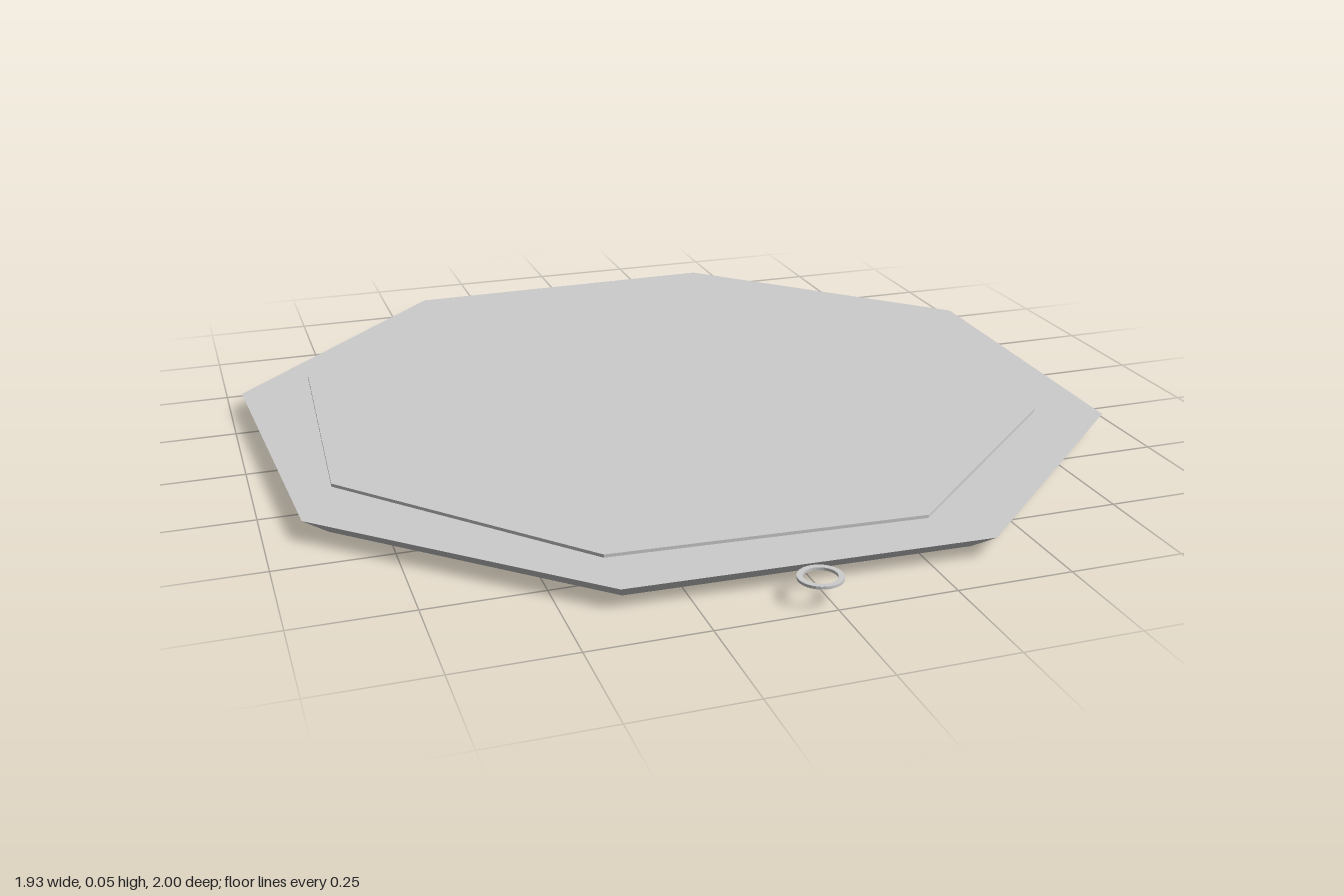
import * as THREE from 'three';

const material = new THREE.MeshStandardMaterial({ color: 0xcccccc, flatShading: true });
const SIDES = 8, RIM_TOP = 0.046, PANEL_TOP = 0.053;
const PANEL = { radius: 0.89, z: -0.065, turn: THREE.MathUtils.degToRad(25.5) };

// Slightly irregular corners [x, z], running from +x towards +z
const outerCorners = [
  [0.945, 0.385], [0.385, 0.9], [-0.39, 0.875], [-0.92, 0.385],
  [-0.97, -0.39], [-0.41, -0.985], [0.405, -1], [0.965, -0.43],
];
const footCorners = [
  [0.89, 0.35], [0.365, 0.835], [-0.37, 0.815], [-0.865, 0.355],
  [-0.905, -0.375], [-0.39, -0.93], [0.38, -0.945], [0.92, -0.41],
];
const panelCorners = Array.from({ length: SIDES }, (_, i) => {
  const a = PANEL.turn + (i / SIDES) * Math.PI * 2;
  return [Math.cos(a) * PANEL.radius, PANEL.z + Math.sin(a) * PANEL.radius];
});

function add(group, name, geometry) {
  const mesh = new THREE.Mesh(geometry, material);
  mesh.name = name;
  group.add(mesh);
  return mesh;
}

// Joins successive corner loops with flat faces
function loft(loops) {
  const pos = [];
  for (let l = 0; l < loops.length - 1; l++) {
    for (let i = 0; i < SIDES; i++) {
      const j = (i + 1) % SIDES;
      const a = loops[l], b = loops[l + 1];
      pos.push(...a[i], ...a[j], ...b[i], ...b[i], ...a[j], ...b[j]);
    }
  }
  const g = new THREE.BufferGeometry();
  g.setAttribute('position', new THREE.Float32BufferAttribute(pos, 3));
  g.computeVertexNormals();
  return g;
}

const atHeight = (corners, y) => corners.map(([x, z]) => [x, y, z]);

export function createModel() {
  const group = new THREE.Group();
  group.name = 'octagonalPlate';

  // Wedge-shaped rim: flat top, outer slope down to the foot, inner slope back up
  const inner = atHeight(panelCorners, RIM_TOP);
  add(group, 'rim', loft([inner, atHeight(outerCorners, RIM_TOP), atHeight(footCorners, 0), inner]));

  // Thin raised panel, also the ceiling of the hollow underneath
  const height = PANEL_TOP - RIM_TOP;
  const panel = add(group, 'panel', new THREE.CylinderGeometry(
    PANEL.radius, PANEL.radius, height, SIDES, 1, false, Math.PI / 2 - PANEL.turn));
  panel.position.set(0, RIM_TOP + height / 2, PANEL.z);

  // Flat hanging ring at the front edge
  const ring = new THREE.Shape().absarc(0, 0, 0.046, 0, Math.PI * 2);
  ring.holes.push(new THREE.Path().absarc(0, 0, 0.034, 0, Math.PI * 2, true));
  const loop = add(group, 'hangingRing', new THREE.ExtrudeGeometry(ring, {
    depth: 0.006, bevelEnabled: false, curveSegments: 16,
  }).rotateX(-Math.PI / 2));
  loop.position.set(-0.018, 0.046, 0.951);

  return group;
}
